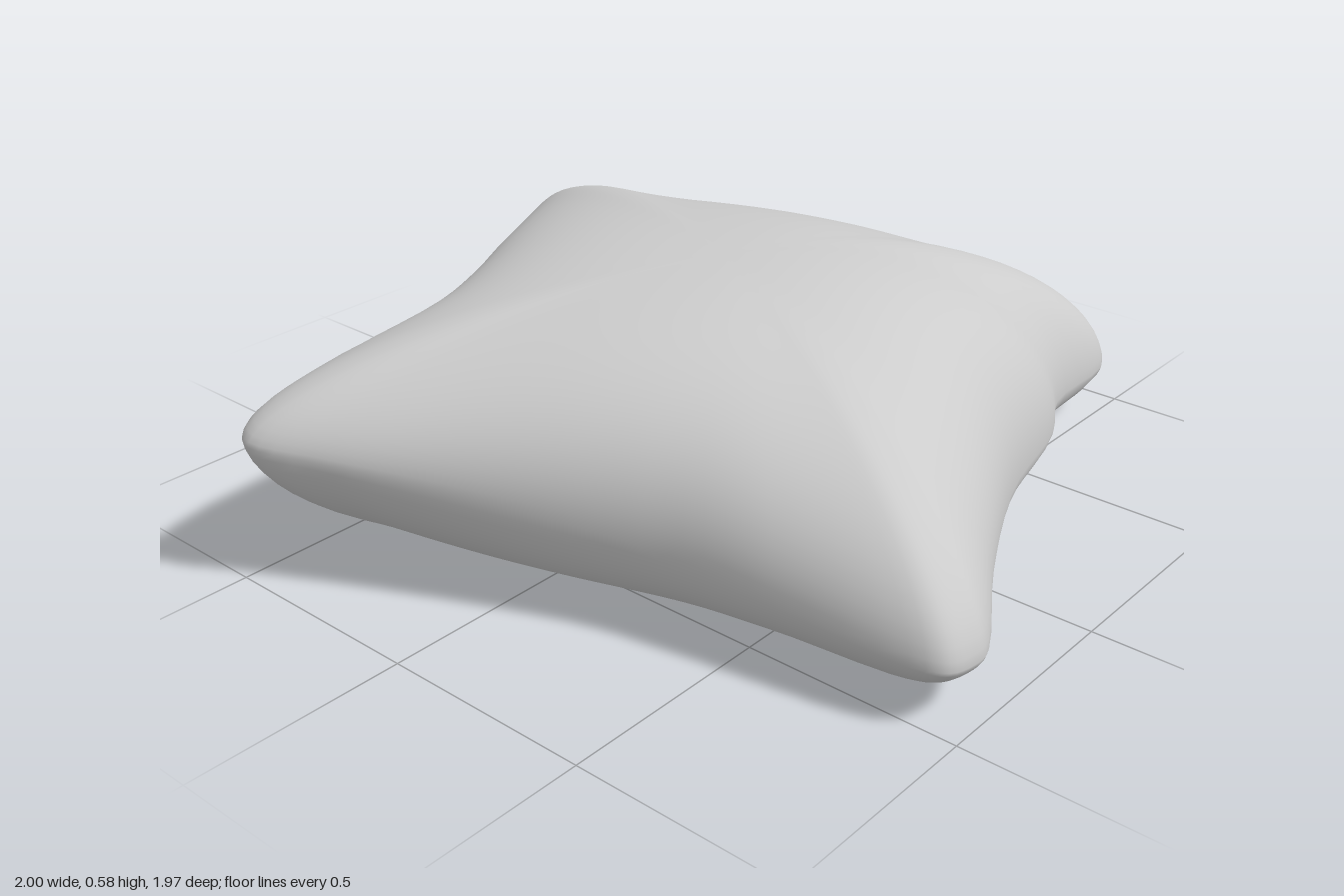
import * as THREE from 'three';

// Pillow outline seen from above (x, z), clockwise from the back right corner
const OUTLINE = [
  [-1, -0.43], [-0.97, -0.485], [-0.84, -0.525], [-0.46, -0.55], [-0.25, -0.625], [0, -0.77],
  [0.23, -0.9], [0.39, -0.98], [0.44, -0.985], [0.48, -0.965], [0.5, -0.92], [0.54, -0.6],
  [0.63, -0.26], [0.7, -0.09], [0.79, 0.07], [0.93, 0.29], [0.98, 0.35], [1, 0.41],
  [0.93, 0.49], [0.65, 0.525], [0.5, 0.6], [0.2, 0.68], [-0.12, 0.83], [-0.37, 0.975],
  [-0.42, 0.98], [-0.48, 0.965], [-0.51, 0.92], [-0.56, 0.62], [-0.6, 0.4],
  [-0.64, 0.28], [-0.72, 0.1], [-0.82, -0.1], [-0.93, -0.3],
];
const TOP = 0.58;
const INNER_RADIUS = 0.8; // rings become circles of this scale near the centre
const SEGMENTS = 144;
const RINGS = 24; // rings from the centre to the rim, on each face

const { lerp, clamp, smoothstep } = THREE.MathUtils;

// Point on the upper or lower face, on ring r (0 centre, 1 rim) below a rim point
function surfacePoint(rimPoint, r, isTop) {
  const radius = Math.hypot(rimPoint.x, rimPoint.z);
  const corner = smoothstep(radius, 0.62, 1.05);
  const scale = r * lerp(INNER_RADIUS / radius, 1, r ** 1.5);

  // The rim is tilted: it rises towards the back edge
  const slope = -0.37 * rimPoint.x - 0.93 * rimPoint.z;
  const rim = 0.235 + 0.138 * slope;
  let y;
  if (isTop) {
    y = rim + (TOP - rim) * (1 - r ** 2.45) ** lerp(0.48, 0.58, corner);
  } else {
    const back = clamp(0.5 + slope / 1.5, 0, 1);
    const power = lerp(5, lerp(7, 4.2, back), corner);
    y = rim * (1 - (1 - r ** power) ** lerp(0.5, 0.62, corner));
  }
  return [rimPoint.x * scale, y, rimPoint.z * scale];
}

function pillowGeometry() {
  const curve = new THREE.CatmullRomCurve3(
    OUTLINE.map(([x, z]) => new THREE.Vector3(x, 0, z)), true, 'centripetal');
  const rimPoints = Array.from({ length: SEGMENTS }, (_, j) => curve.getPoint(j / SEGMENTS));

  // Rings run from the top centre over the rim to the bottom centre
  const positions = [0, TOP, 0];
  const rows = 2 * RINGS;
  for (let i = 1; i < rows; i++) {
    const r = i === RINGS ? 1 : Math.sin((i / rows) * Math.PI);
    for (const p of rimPoints) positions.push(...surfacePoint(p, r, i <= RINGS));
  }
  positions.push(0, 0, 0);

  const last = positions.length / 3 - 1;
  const at = (i, j) => 1 + (i - 1) * SEGMENTS + (j % SEGMENTS);
  const index = [];
  for (let j = 0; j < SEGMENTS; j++) {
    index.push(0, at(1, j + 1), at(1, j));
    for (let i = 1; i < rows - 1; i++) {
      const a = at(i, j), b = at(i, j + 1), c = at(i + 1, j), d = at(i + 1, j + 1);
      index.push(a, d, c, a, b, d);
    }
    index.push(last, at(rows - 1, j), at(rows - 1, j + 1));
  }

  const geometry = new THREE.BufferGeometry();
  geometry.setAttribute('position', new THREE.Float32BufferAttribute(positions, 3));
  geometry.setIndex(index);
  geometry.computeVertexNormals();
  return geometry;
}

export function createModel() {
  const model = new THREE.Group();
  model.name = 'pillow';
  const cushion = new THREE.Mesh(
    pillowGeometry(), new THREE.MeshStandardMaterial({ color: 0xcccccc }));
  cushion.name = 'cushion';
  model.add(cushion);
  return model;
}
